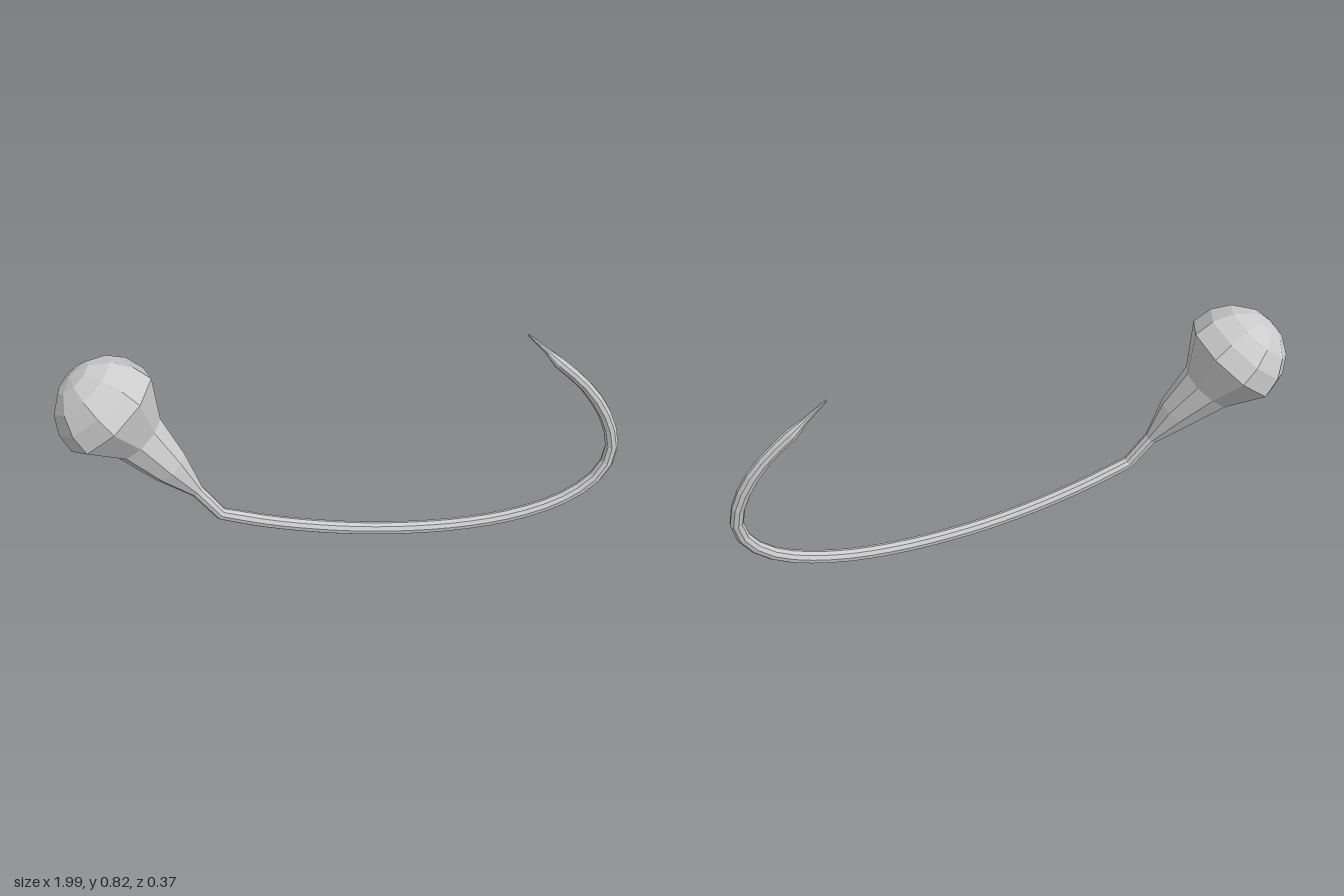
import * as THREE from 'three';

const SIDES = 9;
const V = (x, y, z) => new THREE.Vector3(x, y, z);
const material = new THREE.MeshStandardMaterial({ color: 0xcccccc, flatShading: true });

// Skins a list of round sections { c: centre, r: radius, t: direction } into one mesh
function loft(name, sections) {
  const pos = [], index = [];
  for (const { c, r, t } of sections) {
    const n = V(0, 0, 1).cross(t).normalize();
    const b = t.clone().cross(n).normalize();
    for (let j = 0; j < SIDES; j++) {
      const a = (j / SIDES) * Math.PI * 2;
      const p = c.clone().addScaledVector(n, r * Math.cos(a)).addScaledVector(b, r * Math.sin(a));
      pos.push(p.x, p.y, p.z);
    }
  }
  for (let i = 0; i < sections.length - 1; i++) {
    for (let j = 0; j < SIDES; j++) {
      const k = (j + 1) % SIDES;
      const a = i * SIDES + j, b = i * SIDES + k;
      const c = a + SIDES, d = b + SIDES;
      if (sections[i].r > 0) index.push(a, b, c);
      if (sections[i + 1].r > 0) index.push(b, d, c);
    }
  }
  const geo = new THREE.BufferGeometry();
  geo.setAttribute('position', new THREE.Float32BufferAttribute(pos, 3));
  geo.setIndex(index);
  geo.computeVertexNormals();
  const mesh = new THREE.Mesh(geo, material);
  mesh.name = name;
  return mesh;
}

export function createModel() {
  const group = new THREE.Group();
  group.name = 'curvedHookWithBulb';

  // Direction from the bulb down into the neck
  const axis = V(0.636, -0.771, 0.06).normalize();
  const centre = V(-0.812, 0.641, 0);
  const R = 0.19;

  // Mitred section shared by the neck and the hook
  const bend = { c: V(-0.465, 0.205, 0.05), r: 0.023, t: V(0.82, -0.57, 0).normalize() };

  // Bulb: hemispherical dome narrowing into a faceted neck
  const bulb = [];
  for (let i = 0; i <= 4; i++) {
    const a = (i / 4) * Math.PI / 2;
    bulb.push({ c: centre.clone().addScaledVector(axis, -R * Math.cos(a)), r: R * Math.sin(a), t: axis });
  }
  bulb.push(
    { c: V(-0.728, 0.532, 0.003), r: 0.103, t: axis },
    { c: V(-0.63, 0.418, 0.03), r: 0.07, t: axis },
    { c: V(-0.543, 0.308, 0.042), r: 0.024, t: axis },
    bend,
  );
  group.add(loft('bulbAndNeck', bulb));

  // Hook: slender rod sweeping down, round and back up
  const curve = new THREE.CatmullRomCurve3([
    bend.c,
    V(-0.3, 0.145, 0.039), V(-0.1, 0.09, 0.025), V(0.1, 0.052, 0.012),
    V(0.3, 0.032, 0), V(0.45, 0.029, -0.009), V(0.6, 0.04, -0.019),
    V(0.75, 0.073, -0.03), V(0.86, 0.122, -0.041), V(0.94, 0.195, -0.05),
    V(0.974, 0.28, -0.06), V(0.963, 0.37, -0.069), V(0.92, 0.47, -0.076),
    V(0.848, 0.57, -0.083), V(0.755, 0.66, -0.088),
  ], false, 'centripetal');
  const hook = [bend];
  const steps = 28;
  for (let i = 1; i <= steps; i++) {
    const u = i / steps;
    hook.push({ c: curve.getPointAt(u), r: u > 0.9 ? 0.022 : 0.024, t: curve.getTangentAt(u) });
  }

  // Sharpened point of the hook
  const tipDir = V(-0.67, 0.74, -0.06).normalize();
  hook.push(
    { c: V(0.712, 0.705, -0.093), r: 0.011, t: tipDir },
    { c: V(0.637, 0.778, -0.1), r: 0.004, t: tipDir },
    { c: V(0.635, 0.78, -0.1), r: 0, t: tipDir },
  );
  group.add(loft('hook', hook));

  return group;
}
